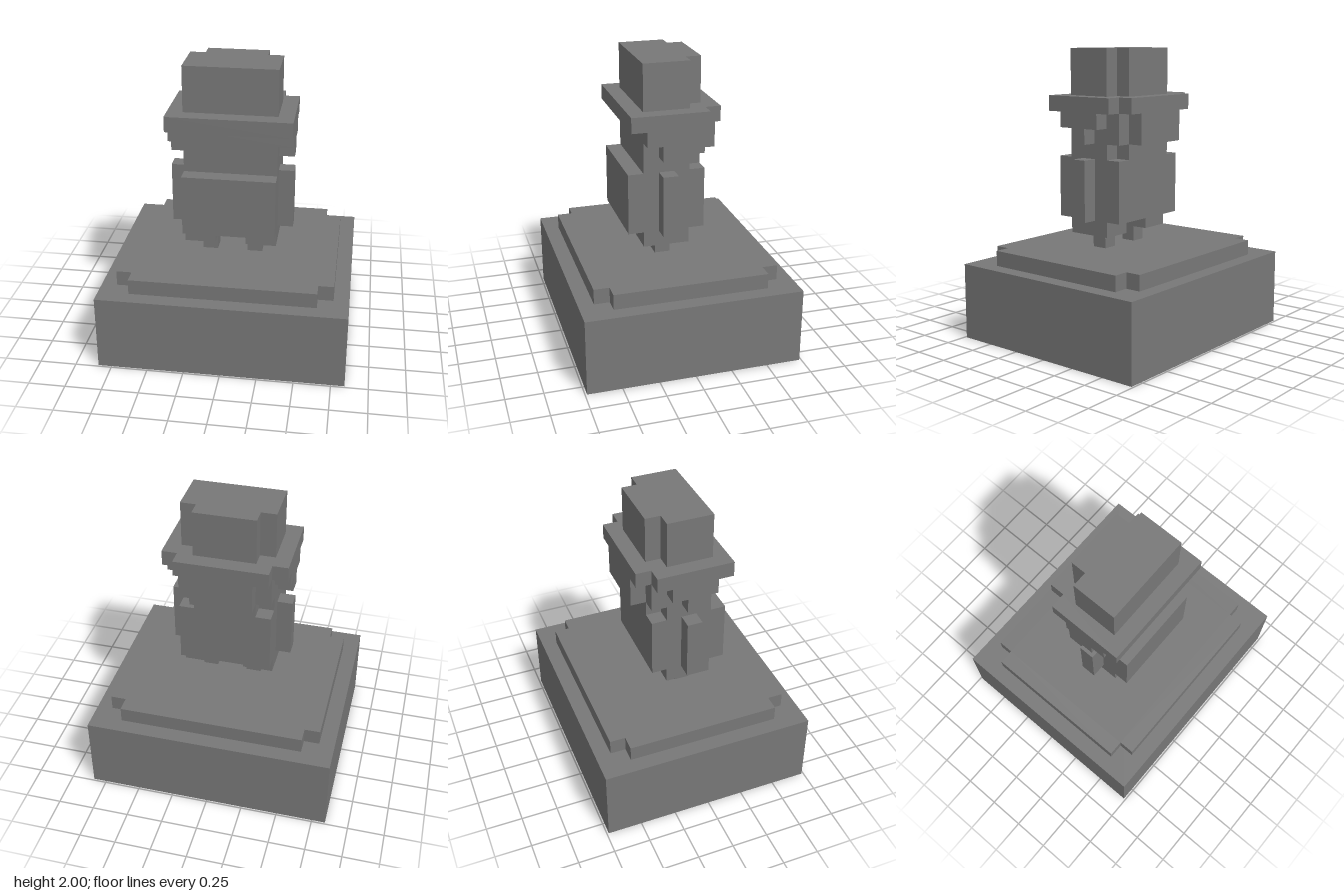
import * as THREE from 'three';

const U = 2 / 19; // one block

export function createModel() {
  const model = new THREE.Group();
  model.name = 'blockStatue';
  const stone = new THREE.MeshStandardMaterial({ color: 0x787878 });
  stone.name = 'grey stone';

  function box(name, x0, x1, y0, y1, z0, z1) {
    const geo = new THREE.BoxGeometry((x1 - x0) * U, (y1 - y0) * U, (z1 - z0) * U);
    geo.translate((x0 + x1) / 2 * U, (y0 + y1) / 2 * U, (z0 + z1) / 2 * U);
    const mesh = new THREE.Mesh(geo, stone);
    mesh.name = name;
    model.add(mesh);
  }

  // Symmetric slab with a stepped outline: rows of [halfWidth, zStart, zEnd], back to front
  function layer(name, y0, y1, rows) {
    const side = rows.flatMap(([w, z0, z1]) => [[w, z0], [w, z1]]);
    const outline = [...side, ...side.map(([w, z]) => [-w, z]).reverse()];
    const shape = new THREE.Shape(outline.map(([x, z]) => new THREE.Vector2(x * U, -z * U)));
    const geo = new THREE.ExtrudeGeometry(shape, { depth: (y1 - y0) * U, bevelEnabled: false });
    geo.rotateX(-Math.PI / 2).translate(0, y0 * U, 0);
    const mesh = new THREE.Mesh(geo, stone);
    mesh.name = name;
    model.add(mesh);
  }

  // Pedestal with a notched slab on top
  box('pedestal', -8, 8, 0, 5, -7, 7);
  layer('pedestalSlab', 5, 6, [[6, -6, -5], [7, -5, 5], [6, 5, 6]]);

  // Feet, legs and arms on both sides
  for (const [side, s] of [['left', 1], ['right', -1]]) {
    const pair = (part, a, b, ...rest) =>
      box(side + part, Math.min(a * s, b * s), Math.max(a * s, b * s), ...rest);
    pair('Foot', 1, 2, 6, 7, 0, 1);
    pair('Leg', 1, 3, 7, 8, -1, 2);
    pair('Arm', 3, 4, 8, 12, 0, 1);
    pair('Sideburn', 3, 4, 13, 14, 0, 1);
  }

  // Body and head
  box('body', -3, 3, 8, 12, -2, 3);
  layer('lowerHead', 12, 13, [[2, -2, -1], [3, -1, 2]]);
  layer('headAndHair', 13, 14, [[2, -3, -2], [3, -2, 2]]);
  layer('upperHair', 14, 15, [[2, -3, -2], [3, -2, -1], [4, -1, 2]]);

  // Hat
  layer('hatBrim', 15, 16, [[3, -3, -2], [4, -2, 3]]);
  layer('hatCrown', 16, 19, [[2, -2, -1], [3, -1, 2]]);

  return model;
}
